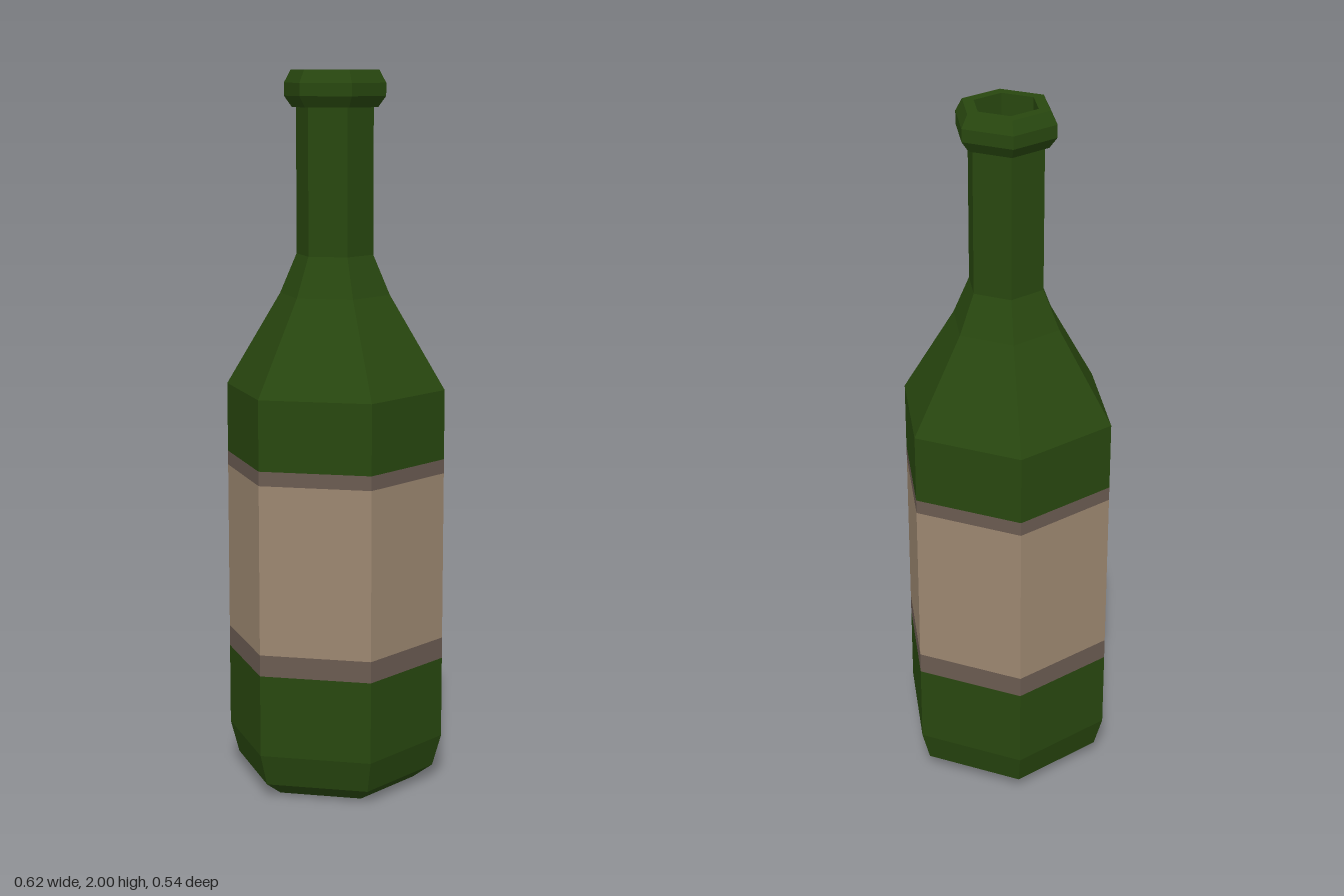
import * as THREE from 'three';

export function createModel() {
  const group = new THREE.Group();
  group.name = 'bottle';

  const material = (name, color) => {
    const m = new THREE.MeshStandardMaterial({ color, flatShading: true });
    m.name = name;
    return m;
  };
  const glass = material('green glass', 0x28470f);
  const paper = material('label paper', 0x9c8770);
  const trim = material('label trim', 0x6a5b51);

  // Six-sided turned part from [radius, height] pairs, with corners on the x axis
  const turned = (name, mat, profile) => {
    const points = profile.map(([r, y]) => new THREE.Vector2(r, y));
    const mesh = new THREE.Mesh(new THREE.LatheGeometry(points, 6, Math.PI / 2), mat);
    mesh.name = name;
    group.add(mesh);
  };

  const R = 0.31;

  // Base and lower body
  turned('base', glass, [[0, 0], [0.23, 0], [0.285, 0.04], [R, 0.13], [R, 0.36]]);

  // Label with a darker strip along each edge
  turned('lowerLabelTrim', trim, [[R, 0.36], [R, 0.42]]);
  turned('label', paper, [[R, 0.42], [R, 0.895]]);
  turned('upperLabelTrim', trim, [[R, 0.895], [R, 0.935]]);

  // Upper body, shoulder and neck
  turned('shoulderAndNeck', glass, [
    [R, 0.935], [R, 1.13], [0.155, 1.39], [0.108, 1.5], [0.108, 1.91],
  ]);

  // Lip, with the mouth sunk into it
  turned('lip', glass, [
    [0.105, 1.9], [0.12, 1.9], [0.142, 1.93], [0.142, 1.965], [0.123, 2],
    [0.09, 2], [0.09, 1.9], [0, 1.9],
  ]);

  return group;
}
